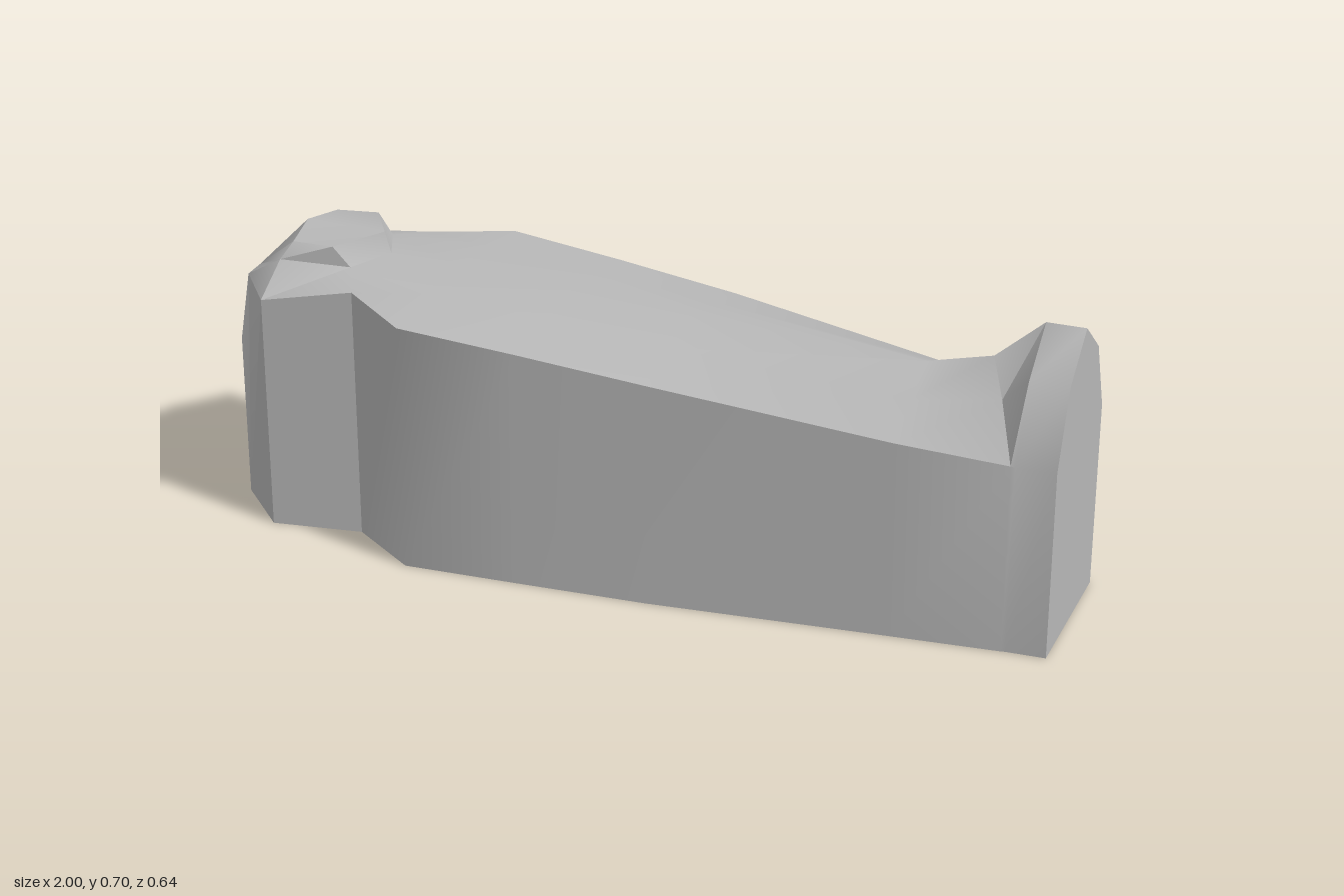
import * as THREE from 'three';
import { toCreasedNormals } from 'three/addons/utils/BufferGeometryUtils.js';

// Half cross-section of the coffin: base, rim, low and high points of the lid, ridge.
// Each point is [x, y, z]; the other half is mirrored in z.
const section = (x, w, rim, m, mid, ridge) => [
  [x, 0, w], [x, rim, w], [x, mid, m], [x, mid, m], [x, ridge, 0],
];

const sections = [
  // head end and crown
  section(-1, 0.105, 0.4, 0.05, 0.4, 0.4),
  [[-1, 0, 0.105], [-0.97, 0.57, 0.108], [-0.97, 0.573, 0.05], [-0.97, 0.573, 0.05], [-0.97, 0.575, 0]],
  [[-0.865, 0, 0.24], [-0.865, 0.57, 0.24], [-0.86, 0.638, 0.15], [-0.845, 0.67, 0.11], [-0.865, 0.683, 0]],
  // chin: upper edge, then its foot on the chest
  [[-0.65, 0, 0.205], [-0.65, 0.608, 0.205], [-0.7, 0.627, 0.11], [-0.74, 0.675, 0.118], [-0.665, 0.68, 0]],
  [[-0.65, 0, 0.205], [-0.65, 0.608, 0.205], [-0.7, 0.627, 0.11], [-0.7, 0.627, 0.11], [-0.65, 0.63, 0]],
  // shoulders to shins
  section(-0.48, 0.32, 0.593, 0.16, 0.614, 0.625),
  section(-0.2, 0.303, 0.567, 0.15, 0.594, 0.607),
  section(0.1, 0.283, 0.535, 0.14, 0.568, 0.593),
  section(0.65, 0.223, 0.468, 0.11, 0.523, 0.57),
  // instep crease and upright foot
  [[0.9, 0, 0.197], [0.9, 0.447, 0.197], [0.845, 0.545, 0.085], [0.845, 0.545, 0.085], [0.8, 0.607, 0]],
  section(0.91, 0.195, 0.445, 0.118, 0.615, 0.703),
  section(1, 0.19, 0.445, 0.118, 0.615, 0.703),
];

function loft(halves) {
  const rings = halves.map((h) => [
    ...h, ...h.slice(0, -1).reverse().map(([x, y, z]) => [x, y, -z]),
  ]);
  const n = rings[0].length;
  const half = (n - 1) / 2;
  const out = [];
  const tri = (...points) => {
    const [a, b, c] = points.map((p) => new THREE.Vector3(...p));
    const area = b.clone().sub(a).cross(c.clone().sub(a)).length();
    if (area > 1e-7) out.push(...points.flat());
  };
  // skin, including the flat underside
  for (let i = 0; i < rings.length - 1; i++) {
    for (let j = 0; j < n; j++) {
      const k = (j + 1) % n;
      const a = rings[i][j], b = rings[i + 1][j], c = rings[i + 1][k], d = rings[i][k];
      if (j < half) { tri(a, b, c); tri(a, c, d); }
      else { tri(a, b, d); tri(b, c, d); }
    }
  }
  // end panels
  const first = rings[0], last = rings[rings.length - 1];
  for (let j = 1; j < n - 1; j++) {
    tri(first[0], first[j], first[j + 1]);
    tri(last[0], last[j + 1], last[j]);
  }
  const geometry = new THREE.BufferGeometry();
  geometry.setAttribute('position', new THREE.Float32BufferAttribute(out, 3));
  return toCreasedNormals(geometry, THREE.MathUtils.degToRad(40));
}

export function createModel() {
  const stone = new THREE.MeshStandardMaterial({ color: 0xb8b8b8 });
  stone.name = 'grey stone';
  const coffin = new THREE.Mesh(loft(sections), stone);
  coffin.name = 'coffin';
  const group = new THREE.Group();
  group.name = 'sarcophagus';
  group.add(coffin);
  return group;
}
